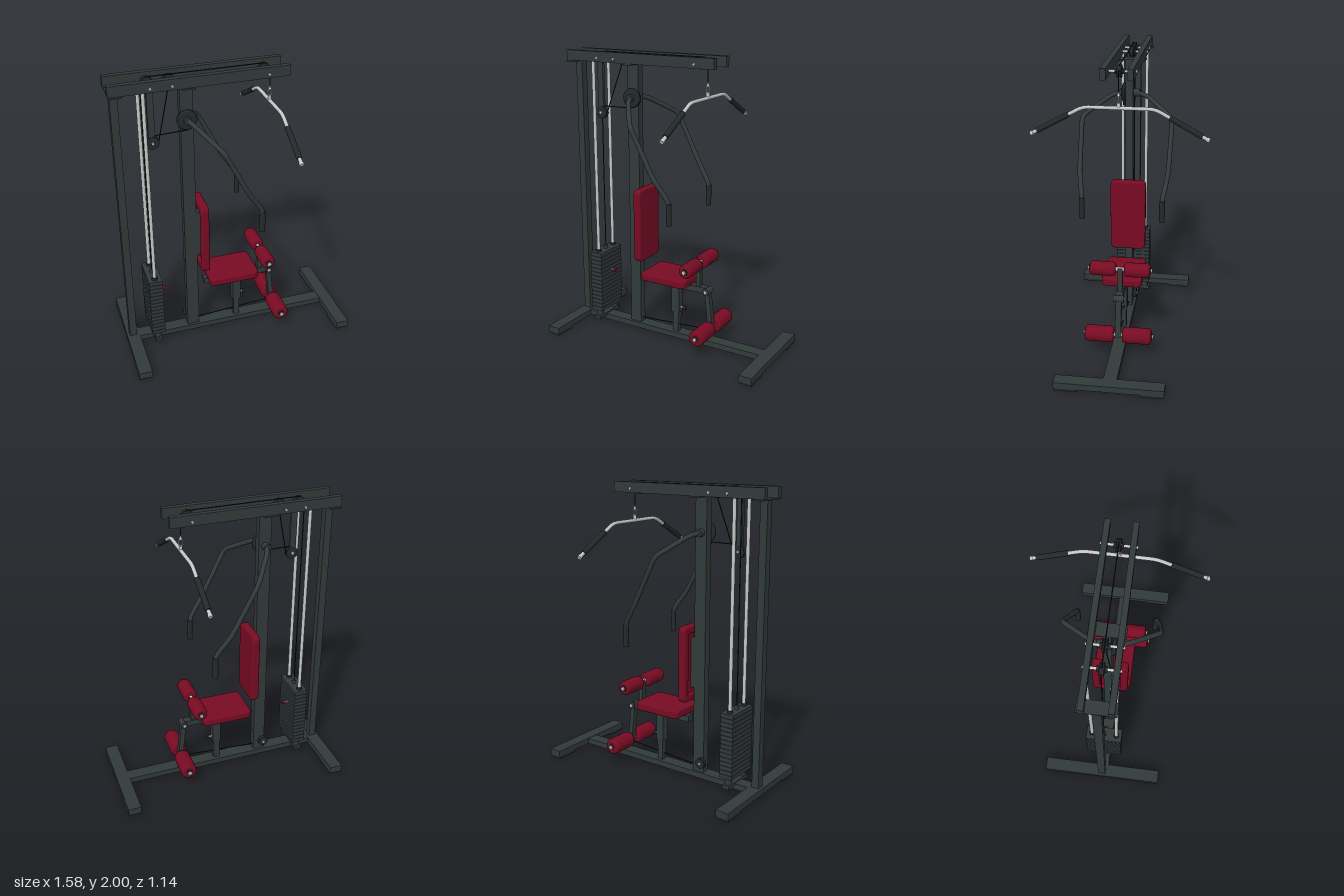
import * as THREE from 'three';
import { RoundedBoxGeometry } from 'three/addons/geometries/RoundedBoxGeometry.js';

const mat = (name, color) => new THREE.MeshStandardMaterial({ name, color });
const V = (x, y, z) => new THREE.Vector3(x, y, z);

export function createModel() {
  const root = new THREE.Group();
  root.name = 'homeGym';
  const steel = mat('charcoalSteel', 0x323a3a);
  const rubber = mat('blackRubber', 0x23292a);
  const cableMat = mat('cableBlack', 0x151819);
  const chrome = mat('chrome', 0xc6c8c8);
  const red = mat('redVinyl', 0x780b23);

  const add = (name, geo, m) => {
    const mesh = new THREE.Mesh(geo, m);
    mesh.name = name;
    root.add(mesh);
    return mesh;
  };
  // box given by its limits on each axis
  const box = (name, m, x0, x1, y0, y1, z0, z1, r = 0) => {
    const s = [x1 - x0, y1 - y0, z1 - z0];
    const geo = r ? new RoundedBoxGeometry(...s, 3, r) : new THREE.BoxGeometry(...s);
    const mesh = add(name, geo, m);
    mesh.position.set((x0 + x1) / 2, (y0 + y1) / 2, (z0 + z1) / 2);
    return mesh;
  };
  // round bar between two points
  const rod = (name, m, a, b, r, sides = 16) => {
    const d = b.clone().sub(a);
    const mesh = add(name, new THREE.CylinderGeometry(r, r, d.length(), sides), m);
    mesh.position.copy(a).add(b).multiplyScalar(0.5);
    mesh.quaternion.setFromUnitVectors(V(0, 1, 0), d.normalize());
    return mesh;
  };
  // bent pipe: straight runs joined by rounded corners
  const pipe = (name, m, pts, r, bend = 0.04) => {
    const path = new THREE.CurvePath();
    let from = pts[0];
    for (let i = 1; i < pts.length - 1; i++) {
      const p = pts[i];
      const a = p.clone().add(pts[i - 1].clone().sub(p).setLength(bend));
      const b = p.clone().add(pts[i + 1].clone().sub(p).setLength(bend));
      path.add(new THREE.LineCurve3(from, a));
      path.add(new THREE.QuadraticBezierCurve3(a, p, b));
      from = b;
    }
    path.add(new THREE.LineCurve3(from, pts[pts.length - 1]));
    return add(name, new THREE.TubeGeometry(path, 64, r, 12), m);
  };
  // solid turned about a z-axis, profile of [radius, offset]
  const turned = (name, m, profile, x, y, z) => {
    const geo = new THREE.LatheGeometry(profile.map(p => new THREE.Vector2(...p)), 28);
    geo.rotateX(Math.PI / 2);
    const mesh = add(name, geo, m);
    mesh.position.set(x, y, z);
    return mesh;
  };
  const pulley = (name, x, y, z, r, w = 0.024) => {
    const h = w / 2;
    turned(name, rubber, [[0, -h], [r, -h], [r, -h * 0.7], [r * 0.8, 0], [r, h * 0.7], [r, h], [0, h]], x, y, z);
    rod(name + 'Bolt', chrome, V(x, y, z - h - 0.008), V(x, y, z + h + 0.008), 0.009);
  };

  // base rail, cross feet and floor pads
  box('baseRail', steel, -0.72, 0.72, 0.015, 0.055, -0.045, 0.045);
  for (const [x0, x1, z] of [[-0.79, -0.7, 0.43], [0.7, 0.79, 0.36]]) {
    box('crossFoot', steel, x0, x1, 0.015, 0.058, -z, z);
    for (const s of [-1, 1]) {
      const c = s * (z - 0.08);
      box('footPad', rubber, x0, x1, 0, 0.016, c - 0.075, c + 0.075);
    }
  }

  // uprights with top plates and twin overhead beams
  box('rearPost', steel, -0.77, -0.72, 0.055, 1.925, -0.027, 0.027);
  box('mainPost', steel, -0.34, -0.255, 0.055, 1.925, -0.027, 0.027);
  box('rearTopPlate', steel, -0.785, -0.705, 1.922, 1.931, -0.115, 0.115);
  box('mainTopPlate', steel, -0.34, -0.255, 1.922, 1.931, -0.11, 0.11);
  for (const s of [-1, 1]) {
    const z = s * 0.084;
    box('topBeam', steel, -0.79, 0.355, 1.93, 2, z - 0.018, z + 0.018);
  }

  // overhead pulleys on cross bolts
  for (const x of [-0.535, -0.4, 0.215]) {
    pulley('topPulley', x, 1.957, 0, 0.04, 0.03);
    rod('pulleyAxle', chrome, V(x, 1.957, -0.112), V(x, 1.957, 0.112), 0.009);
    for (const s of [-1, 1]) rod('pulleySpacer', rubber, V(x, 1.957, s * 0.016), V(x, 1.957, s * 0.03), 0.018);
  }

  // hanging bracket with its pulley
  box('hangingBracket', steel, -0.555, -0.513, 1.6, 1.93, 0.05, 0.072);
  pulley('hangingPulley', -0.53, 1.585, 0.061, 0.042, 0.03);

  // weight stack, guide rods and selector pin
  const plates = 15, pitch = 0.0303;
  for (let i = 0; i < plates; i++) {
    const y = 0.112 + i * pitch;
    box('weightPlate', steel, -0.625, -0.53, y, y + 0.026, -0.125, 0.125);
  }
  box('stackCore', rubber, -0.619, -0.536, 0.112, 0.56, -0.119, 0.119);
  rod('selectorStem', steel, V(-0.578, 0.56, 0), V(-0.578, 0.59, 0), 0.015);
  rod('selectorPin', chrome, V(-0.54, 0.405, 0), V(-0.505, 0.405, 0), 0.006);
  rod('selectorKnob', red, V(-0.508, 0.405, 0), V(-0.487, 0.405, 0), 0.014);
  for (const s of [-1, 1]) {
    const z = s * 0.087;
    rod('guideRod', chrome, V(-0.578, 0.1, z), V(-0.578, 1.93, z), 0.012);
    rod('rodCollar', rubber, V(-0.578, 0.56, z), V(-0.578, 0.58, z), 0.02);
    rod('rodBuffer', steel, V(-0.578, 0.06, z), V(-0.578, 0.115, z), 0.024);
  }
  box('stackFoot', steel, -0.602, -0.554, 0.04, 0.065, -0.125, 0.125);

  // press arm pivot, arms and grips
  turned('pivotDisc', rubber, [[0, 0], [0.065, 0], [0.065, 0.018], [0.055, 0.024], [0, 0.024]], -0.3, 1.697, 0.028);
  rod('pivotShaft', steel, V(-0.3, 1.697, -0.068), V(-0.3, 1.697, 0.068), 0.026);
  for (const s of [-1, 1]) {
    pipe('pressArm', steel, [V(-0.3, 1.697, s * 0.05), V(-0.275, 1.685, s * 0.12), V(-0.14, 1.565, s * 0.305),
      V(0.03, 1.235, s * 0.298), V(0.13, 1.09, s * 0.27), V(0.13, 0.94, s * 0.27)], 0.016);
    rod('pressGrip', rubber, V(0.13, 0.932, s * 0.27), V(0.13, 1.08, s * 0.27), 0.019);
  }

  // pull-down bar with grips
  const end = s => V(0.26, 1.553, s * 0.56);
  const knee = s => V(0.26, 1.737, s * 0.225);
  pipe('pullDownBar', chrome, [end(-1), knee(-1), knee(1), end(1)], 0.012);
  for (const s of [-1, 1]) {
    const at = t => knee(s).lerp(end(s), t);
    rod('pullDownGrip', rubber, at(0.27), at(0.88), 0.018);
    rod('pullDownEndCap', chrome, at(0.96), at(1.01), 0.015);
  }
  rod('barHook', chrome, V(0.26, 1.74, 0), V(0.26, 1.77, 0), 0.012);
  const link = add('hookLink', new THREE.TorusGeometry(0.013, 0.004, 8, 16), chrome);
  link.scale.y = 1.8;
  link.position.set(0.26, 1.79, 0);
  add('cableEnd', new THREE.ConeGeometry(0.011, 0.035, 12), chrome).position.set(0.26, 1.83, 0);

  // cables
  const cable = (...p) => { for (let i = 1; i < p.length; i++) rod('cable', cableMat, p[i - 1], p[i], 0.0035, 6); };
  cable(V(-0.578, 0.58, 0), V(-0.575, 1.957, 0), V(-0.535, 1.994, 0), V(0.215, 1.994, 0), V(0.258, 1.957, 0), V(0.26, 1.82, 0));
  cable(V(-0.53, 1.629, 0.061), V(-0.3, 1.632, 0.05));
  cable(V(-0.49, 1.585, 0.061), V(-0.4, 1.92, 0));
  cable(V(-0.335, 0.088, 0), V(-0.25, 0.085, 0), V(0.3, 0.122, 0));
  pulley('lowPulley', -0.325, 0.125, -0.04, 0.036);

  // padded cushion, built flat and facing up, with a recessed underside
  const cushion = (name, w, d, h) => {
    const g = new THREE.Group();
    g.name = name;
    const rect = (C, x, z, r) => {
      const s = new C();
      s.moveTo(-x + r, -z).lineTo(x - r, -z).quadraticCurveTo(x, -z, x, -z + r).lineTo(x, z - r)
        .quadraticCurveTo(x, z, x - r, z).lineTo(-x + r, z).quadraticCurveTo(-x, z, -x, z - r)
        .lineTo(-x, -z + r).quadraticCurveTo(-x, -z, -x + r, -z);
      return s;
    };
    const b = 0.012;
    const layer = (part, depth, y, hole) => {
      const s = rect(THREE.Shape, w / 2 - b, d / 2 - b, 0.025);
      if (hole) s.holes.push(rect(THREE.Path, w / 2 - 0.04, d / 2 - 0.04, 0.015));
      const geo = new THREE.ExtrudeGeometry(s, { depth: depth - 2 * b, bevelEnabled: true, bevelSize: b,
        bevelThickness: b, bevelSegments: 4, curveSegments: 6 });
      geo.rotateX(-Math.PI / 2);
      const mesh = new THREE.Mesh(geo, red);
      mesh.name = part;
      mesh.position.y = y + b;
      g.add(mesh);
    };
    layer('cushionTop', h * 0.62, h * 0.38, false);
    layer('cushionRim', h * 0.85, 0, true);
    root.add(g);
    return g;
  };
  cushion('seatPad', 0.355, 0.28, 0.057).position.set(-0.012, 0.438, 0);
  const back = cushion('backPad', 0.52, 0.25, 0.056);
  back.rotation.z = -Math.PI / 2;
  back.position.set(-0.246, 0.822, 0);
  box('backPadBracket', steel, -0.258, -0.215, 0.65, 1.0, -0.022, 0.022);

  // seat frame, telescopic post and adjuster
  box('seatBeam', steel, -0.21, 0.275, 0.393, 0.436, -0.025, 0.025);
  box('seatInnerPost', steel, 0.014, 0.056, 0.055, 0.395, -0.021, 0.021);
  box('seatSleeve', steel, 0.005, 0.064, 0.2, 0.395, -0.027, 0.027);
  rod('adjusterPin', chrome, V(0.06, 0.24, 0), V(0.09, 0.24, 0), 0.007);
  rod('adjusterKnob', rubber, V(0.085, 0.24, 0), V(0.105, 0.24, 0), 0.014);

  // leg station: uprights, hinge and foam rollers
  box('rollerPost', steel, 0.195, 0.226, 0.43, 0.61, -0.017, 0.017);
  const leg = box('legArm', steel, -0.017, 0.017, -0.145, 0.145, -0.02, 0.02);
  leg.position.set(0.295, 0.275, 0);
  leg.rotation.z = 0.11;
  rod('legHinge', steel, V(0.28, 0.41, -0.036), V(0.28, 0.41, 0.036), 0.024);
  rod('legHingeBolt', chrome, V(0.28, 0.41, -0.042), V(0.28, 0.41, 0.042), 0.01);
  for (const [x, y, r, z1] of [[0.21, 0.6, 0.049, 0.205], [0.31, 0.147, 0.056, 0.228]]) {
    rod('rollerBar', chrome, V(x, y, -z1 - 0.014), V(x, y, z1 + 0.014), 0.013);
    for (const s of [-1, 1]) {
      const h = (z1 - 0.03) / 2, c = s * (z1 + 0.03) / 2;
      turned('foamRoller', red, [[0, -h], [r - 0.016, -h], [r - 0.005, -h + 0.005], [r, -h + 0.018],
        [r, h - 0.018], [r - 0.005, h - 0.005], [r - 0.016, h], [0, h]], x, y, c);
      rod('rollerWasher', rubber, V(x, y, s * z1), V(x, y, s * (z1 + 0.006)), 0.022);
    }
  }
  return root;
}
